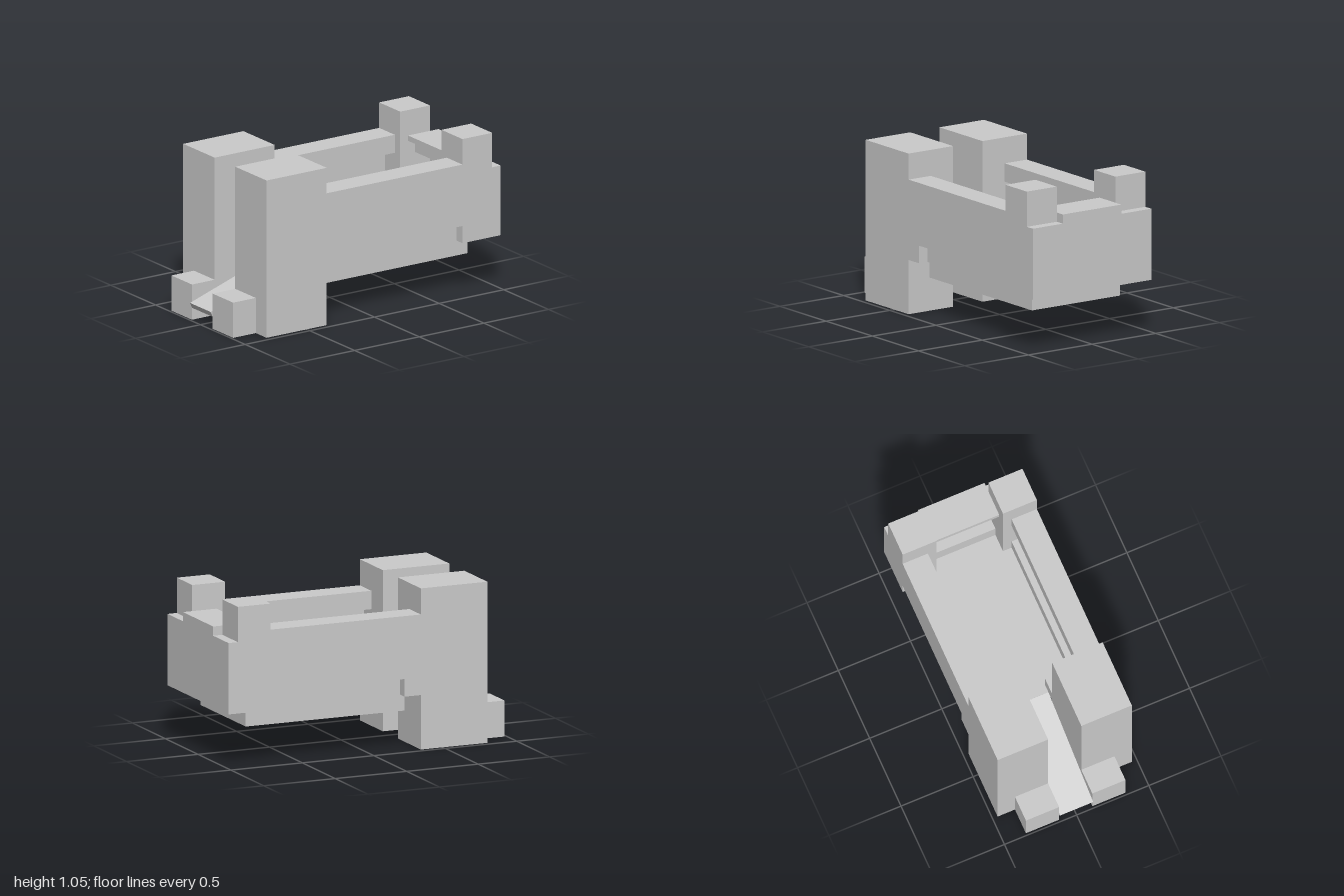
import * as THREE from 'three';

export function createModel() {
  const group = new THREE.Group();
  const material = new THREE.MeshStandardMaterial({ color: 0xcccccc, flatShading: true });

  // Box given by its limits on each axis
  function block(name, [x0, x1], [y0, y1], [z0, z1]) {
    const mesh = new THREE.Mesh(new THREE.BoxGeometry(x1 - x0, y1 - y0, z1 - z0), material);
    mesh.position.set((x0 + x1) / 2, (y0 + y1) / 2, (z0 + z1) / 2);
    mesh.name = name;
    group.add(mesh);
  }
  // The same box on both sides of the model
  function pair(name, x, y, [z0, z1]) {
    block(name + 'Front', x, y, [z0, z1]);
    block(name + 'Back', x, y, [-z1, -z0]);
  }

  // Gate towers with low feet outside
  pair('tower', [-0.81, -0.345], [0, 1.05], [0.115, 0.465]);
  pair('towerFoot', [-0.985, -0.81], [0, 0.235], [0.115, 0.345]);

  // Side walls: thin panel, thick rail on top, recessed curb behind the outer groove
  pair('sideWall', [-0.345, 0.705], [0.47, 0.88], [0.4, 0.465]);
  pair('topRail', [-0.345, 0.705], [0.76, 0.88], [0.29, 0.4]);
  pair('lowerCurb', [-0.23, 0.705], [0.355, 0.47], [0.29, 0.4]);
  pair('entranceStep', [-0.345, -0.23], [0.355, 0.47], [0.115, 0.465]);

  // Corner posts at the closed end
  pair('cornerPost', [0.705, 0.935], [0.355, 1.05], [0.23, 0.465]);

  // Closed end with a stepped ledge
  block('endWall', [0.935, 1], [0.355, 0.82], [-0.465, 0.465]);
  block('endWallCrest', [0.935, 1], [0.82, 0.845], [-0.23, 0.23]);
  block('endLedge', [0.765, 1], [0.845, 0.88], [-0.23, 0.23]);
  block('endLedgeSupport', [0.82, 0.935], [0.76, 0.845], [-0.23, 0.23]);
  block('endWallBase', [0.825, 0.935], [0.355, 0.47], [-0.23, 0.23]);

  // Floor plate hanging below the walls
  block('floorPlate', [-0.285, 0.825], [0.235, 0.355], [-0.345, 0.345]);

  // Entrance ramp between the towers
  const profile = new THREE.Shape([
    new THREE.Vector2(-1, 0.115), new THREE.Vector2(-0.985, 0.08),
    new THREE.Vector2(-0.28, 0.32), new THREE.Vector2(-0.28, 0.355),
  ]);
  const ramp = new THREE.Mesh(
    new THREE.ExtrudeGeometry(profile, { depth: 0.23, bevelEnabled: false }), material);
  ramp.position.z = -0.115;
  ramp.name = 'entranceRamp';
  group.add(ramp);

  return group;
}
